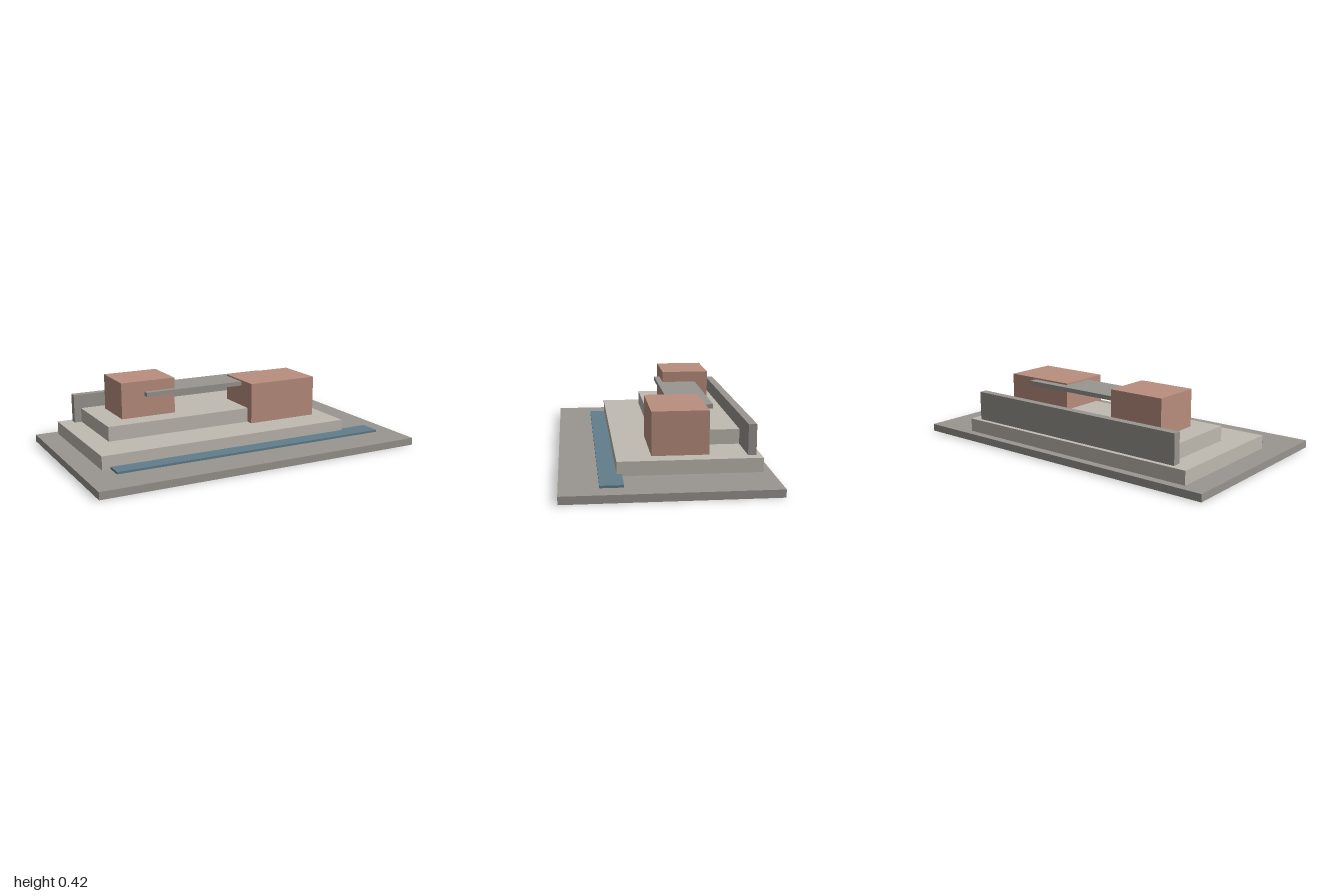
import * as THREE from 'three';

const material = (name, color) => {
  const m = new THREE.MeshStandardMaterial({ color });
  m.name = name;
  return m;
};

export function createModel() {
  const concrete = material('grey concrete', 0x9a9590);
  const stone = material('pale stone', 0xc0bab1);
  const clay = material('terracotta', 0xba8f7f);
  const water = material('blue water', 0x617f8c);

  const model = new THREE.Group();
  model.name = 'terracedPavilion';

  // Adds a box spanning the given [min, max] ranges
  const block = (name, mat, [x0, x1], [y0, y1], [z0, z1]) => {
    const mesh = new THREE.Mesh(new THREE.BoxGeometry(x1 - x0, y1 - y0, z1 - z0), mat);
    mesh.position.set((x0 + x1) / 2, (y0 + y1) / 2, (z0 + z1) / 2);
    mesh.name = name;
    model.add(mesh);
  };

  // Heights at which the stacked levels meet
  const ground = 0.043, lower = 0.122, upper = 0.208;

  // Ground slab and stepped terraces
  block('groundSlab', concrete, [-1, 1], [0, ground], [-0.57, 0.57]);
  block('lowerTerrace', stone, [-0.872, 0.695], [ground, lower], [-0.523, 0.264]);
  block('upperTerrace', stone, [-0.743, 0.396], [lower, upper], [-0.452, 0.027]);

  // Long pool, tucked under the front edge of the lower terrace
  block('pool', water, [-0.823, 0.888], [ground, 0.056], [0.236, 0.361]);

  // Rear screen wall
  block('rearWall', concrete, [-0.786, 0.636], [lower, 0.293], [-0.496, -0.45]);

  // Two volumes joined by a thin bridge
  block('rightTower', clay, [-0.615, -0.278], [upper, 0.422], [-0.373, -0.089]);
  block('leftPavilion', clay, [0.159, 0.604], [lower, 0.367], [-0.244, 0.071]);
  block('bridge', concrete, [-0.471, 0.412], [0.333, 0.358], [-0.294, -0.054]);

  return model;
}
